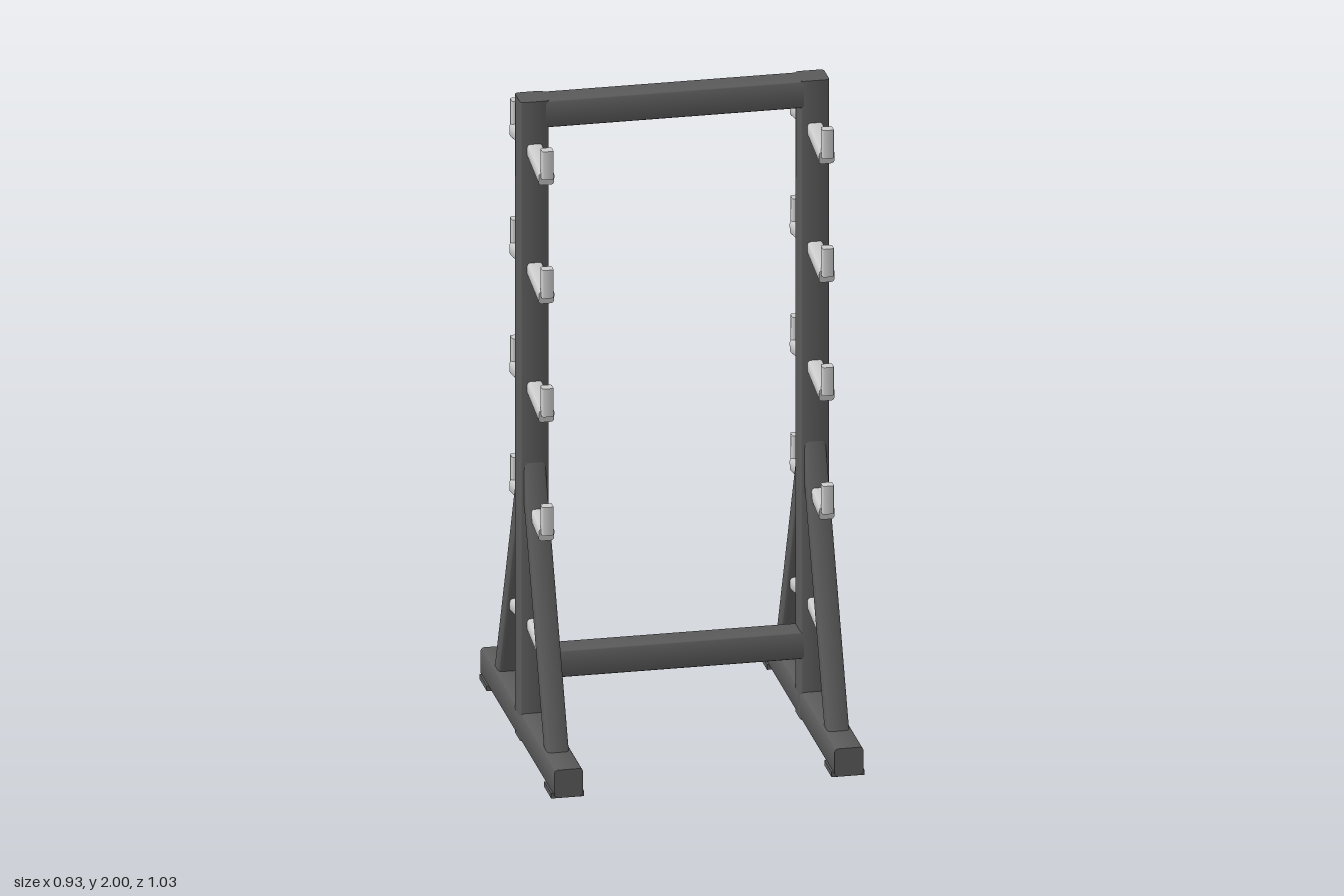
import * as THREE from 'three';
import { toCreasedNormals } from 'three/addons/utils/BufferGeometryUtils.js';

const frameMat = new THREE.MeshStandardMaterial({ color: 0x5a5a5a });
const hookMat = new THREE.MeshStandardMaterial({ color: 0xcccccc });

// Rounded rectangular bar, w (x) by h (y), running along z and centred
function bar(name, w, h, length, r, material) {
  const x = w / 2, y = h / 2;
  const s = new THREE.Shape();
  s.moveTo(-x + r, -y);
  s.lineTo(x - r, -y);
  s.absarc(x - r, -y + r, r, -Math.PI / 2, 0);
  s.lineTo(x, y - r);
  s.absarc(x - r, y - r, r, 0, Math.PI / 2);
  s.lineTo(-x + r, y);
  s.absarc(-x + r, y - r, r, Math.PI / 2, Math.PI);
  s.lineTo(-x, -y + r);
  s.absarc(-x + r, -y + r, r, Math.PI, Math.PI * 1.5);
  const geo = new THREE.ExtrudeGeometry(s, { depth: length, bevelEnabled: false, curveSegments: 5 });
  geo.translate(0, 0, -length / 2);
  const mesh = new THREE.Mesh(toCreasedNormals(geo, 0.6), material);
  mesh.name = name;
  return mesh;
}

// Bar laid between two points in the z-y plane
function barBetween(name, w, h, r, material, [z0, y0], [z1, y1]) {
  const dz = z1 - z0, dy = y1 - y0;
  const mesh = bar(name, w, h, Math.hypot(dz, dy), r, material);
  mesh.position.set(0, (y0 + y1) / 2, (z0 + z1) / 2);
  mesh.rotation.x = -Math.atan2(dy, dz);
  return mesh;
}

// Sloping arm with an upright prong at its tip
function hook() {
  const g = new THREE.Group();
  g.name = 'hook';
  g.add(barBetween('hookArm', 0.046, 0.041, 0.01, hookMat, [0.02, 0.038], [0.205, 0.007]));
  g.add(barBetween('hookProng', 0.034, 0.033, 0.006, hookMat, [0.211, 0.012], [0.211, 0.1]));
  return g;
}

// Foot beam, post, braces and hooks of one side
function sideFrame() {
  const g = new THREE.Group();
  const base = bar('baseBeam', 0.086, 0.087, 1.03, 0.012, frameMat);
  base.position.y = 0.0495;
  g.add(base, barBetween('post', 0.086, 0.086, 0.012, frameMat, [0, 0.007], [0, 2]));

  for (const turn of [0, Math.PI]) {
    const half = new THREE.Group();
    half.name = turn ? 'backHalf' : 'frontHalf';
    half.rotation.y = turn;

    // Brace ends are buried in the post and the base
    half.add(barBetween('brace', 0.065, 0.06, 0.012, frameMat, [0.355, 0.06], [0.011, 0.873]));

    // Low foot pad wrapping the end of the base
    const pad = new THREE.Mesh(new THREE.BoxGeometry(0.098, 0.016, 0.1), frameMat);
    pad.name = 'footPad';
    pad.position.set(0, 0.008, 0.45);
    half.add(pad);

    for (let i = 0; i < 5; i++) {
      const h = hook();
      h.position.y = 0.333 + i * 0.37;
      half.add(h);
    }
    g.add(half);
  }
  return g;
}

export function createModel() {
  const model = new THREE.Group();
  model.name = 'storageRack';

  for (const side of [1, -1]) {
    const frame = sideFrame();
    frame.name = side > 0 ? 'leftFrame' : 'rightFrame';
    frame.position.x = side * 0.418;
    model.add(frame);
  }

  // Crossbars joining the posts
  for (const [name, y] of [['topCrossbar', 1.957], ['lowerCrossbar', 0.238]]) {
    const cross = bar(name, 0.086, 0.086, 0.77, 0.012, frameMat);
    cross.rotation.y = Math.PI / 2;
    cross.position.y = y;
    model.add(cross);
  }
  return model;
}
